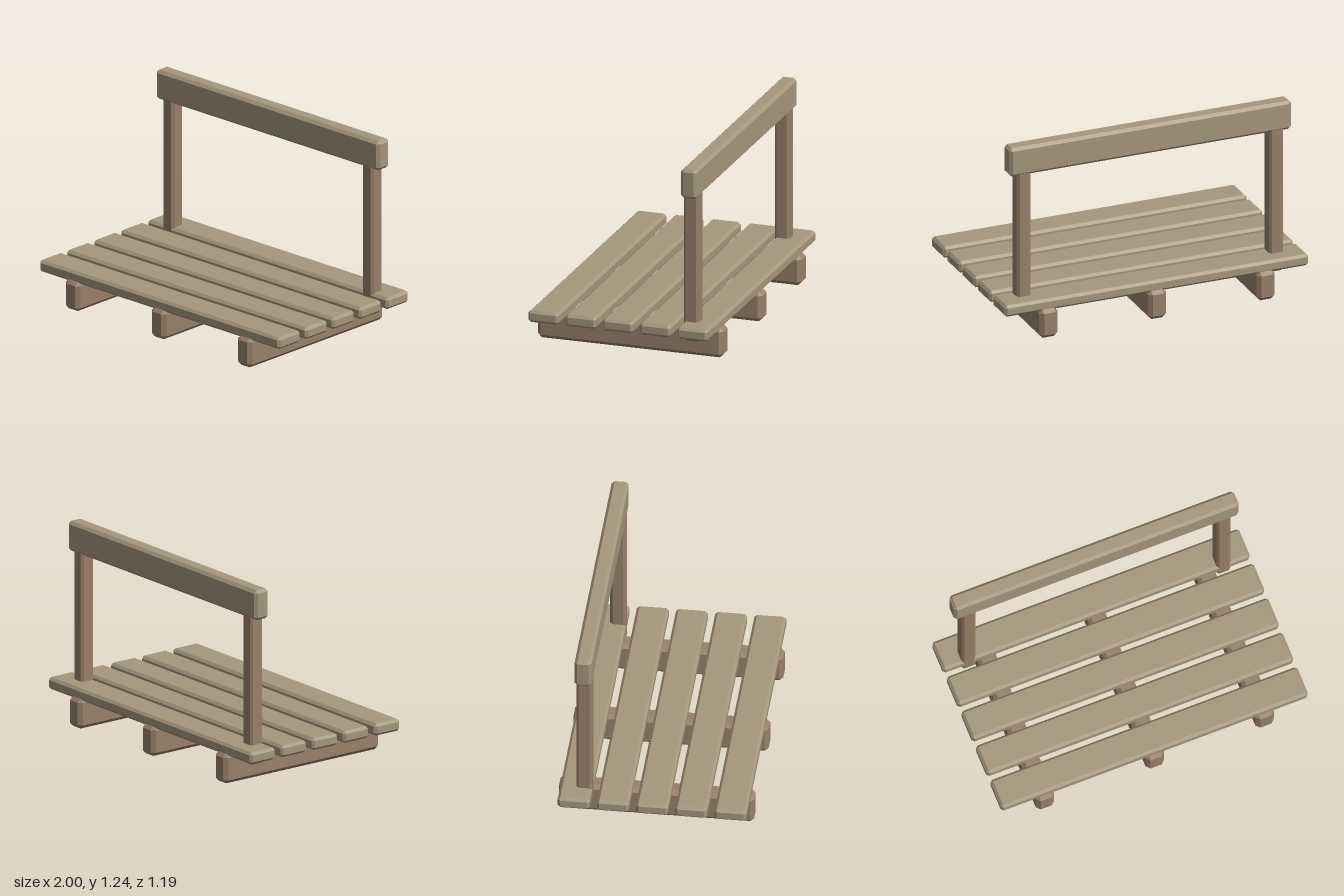
import * as THREE from 'three';
import { ConvexGeometry } from 'three/addons/geometries/ConvexGeometry.js';

const lightWood = new THREE.MeshStandardMaterial({ color: 0xa5967d, flatShading: true });
const darkWood = new THREE.MeshStandardMaterial({ color: 0x99806a, flatShading: true });

// Timber with every edge and corner bevelled by c
function timber(name, material, size, position, c) {
  const [hx, hy, hz] = size.map((s) => s / 2);
  const points = [];
  for (const x of [-1, 1]) for (const y of [-1, 1]) for (const z of [-1, 1]) {
    points.push(
      new THREE.Vector3(x * hx, y * (hy - c), z * (hz - c)),
      new THREE.Vector3(x * (hx - c), y * hy, z * (hz - c)),
      new THREE.Vector3(x * (hx - c), y * (hy - c), z * hz)
    );
  }
  const mesh = new THREE.Mesh(new ConvexGeometry(points), material);
  mesh.name = name;
  mesh.position.set(...position);
  return mesh;
}

export function createModel() {
  const model = new THREE.Group();
  model.name = 'slattedBench';

  // Three ground beams running front to back
  for (const x of [-0.715, 0, 0.715]) {
    model.add(timber('groundBeam', darkWood, [0.12, 0.19, 1.19], [x, 0.095, 0], 0.024));
  }

  // Five deck planks
  for (let i = -2; i <= 2; i++) {
    model.add(timber('deckPlank', lightWood, [2, 0.075, 0.195], [0, 0.2125, i * 0.239], 0.016));
  }

  // Back posts passing through the rear plank
  for (const side of [-1, 1]) {
    model.add(timber('backPost', darkWood, [0.092, 1.0, 0.096], [side * 0.83, 0.624, -0.428], 0.015));
  }

  // Top rail of the backrest
  model.add(timber('backRail', lightWood, [1.855, 0.188, 0.104], [0, 1.146, -0.429], 0.018));

  return model;
}
